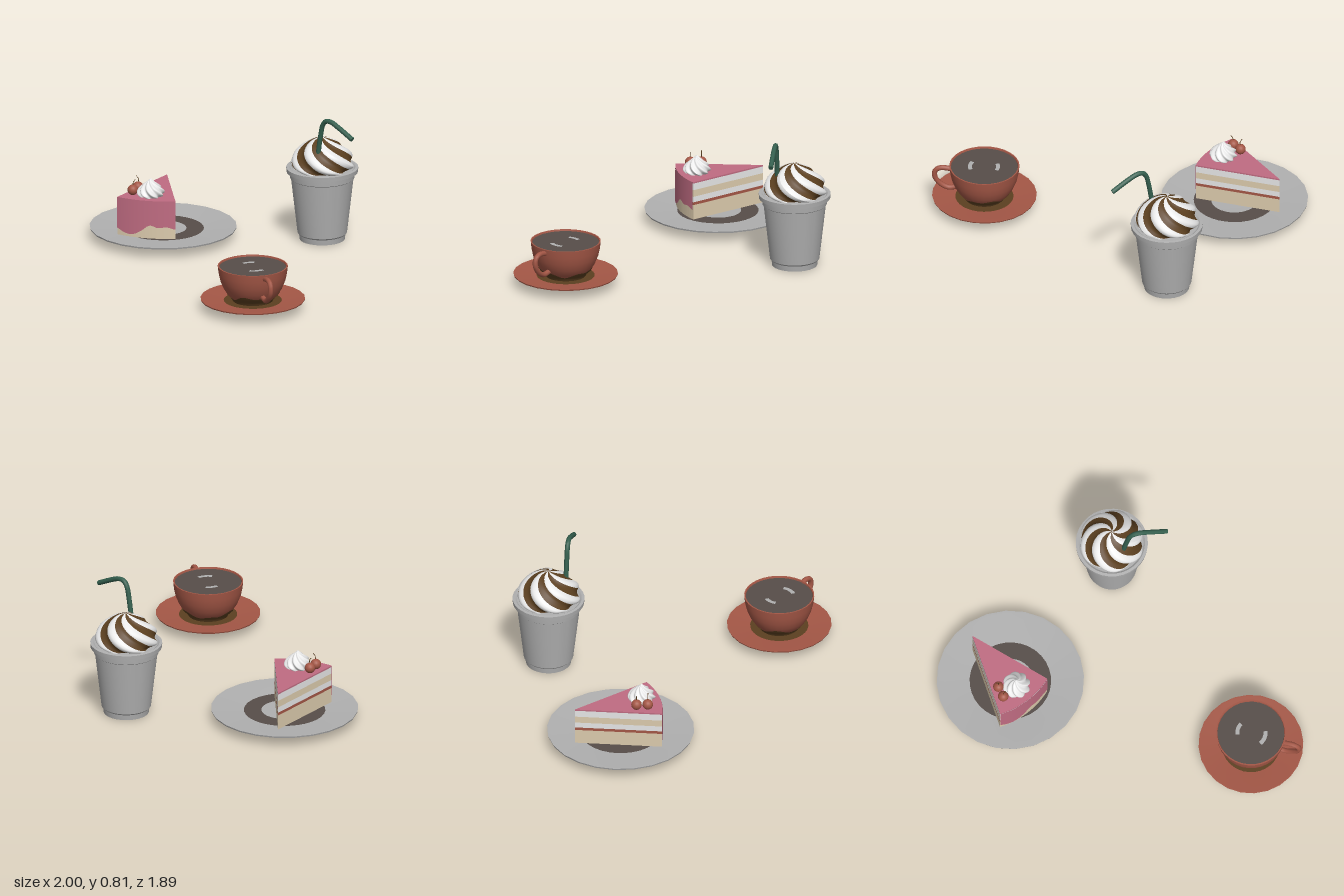
import * as THREE from 'three';
import { toCreasedNormals } from 'three/addons/utils/BufferGeometryUtils.js';

const mat = (name, color, side = THREE.FrontSide) => {
  const m = new THREE.MeshStandardMaterial({ color, side });
  m.name = name;
  return m;
};

export function createModel() {
  const red = mat('terracotta', 0xa45746);
  const grey = mat('porcelain grey', 0xb0b0b0);
  const white = mat('cream white', 0xececec);
  const coffee = mat('coffee', 0x574e49);
  const pink = mat('pink icing', 0xc06c82, THREE.DoubleSide);
  const beige = mat('sponge beige', 0xdccbad);
  const green = mat('straw green', 0x35604f);
  const brown = mat('chocolate', 0x5c4020, THREE.DoubleSide);

  const model = new THREE.Group();
  const group = (name, x, z) => {
    const g = new THREE.Group();
    g.name = name;
    g.position.set(x, 0, z);
    model.add(g);
    return g;
  };
  const add = (parent, name, geo, material, x = 0, y = 0, z = 0) => {
    const m = new THREE.Mesh(geo, material);
    m.name = name;
    m.position.set(x, y, z);
    parent.add(m);
    return m;
  };
  const lathe = (pts, seg = 24) =>
    toCreasedNormals(new THREE.LatheGeometry(pts.map(p => new THREE.Vector2(p[0], p[1])), seg), 0.5);
  const flatRing = (r0, r1, start = 0, len = Math.PI * 2) =>
    new THREE.RingGeometry(r0, r1, 32, 1, start, len).rotateX(-Math.PI / 2);
  const tube = (pts, r, seg = 24) =>
    new THREE.TubeGeometry(new THREE.CatmullRomCurve3(pts.map(p => new THREE.Vector3(...p))), seg, r, 8);

  // Grid surface from a rule; pick(column) chooses the material group
  const surface = (cols, rows, point, pick = () => 0) => {
    const pos = [], sets = [[], []];
    for (let j = 0; j <= rows; j++)
      for (let i = 0; i <= cols; i++) pos.push(...point(i / cols, j / rows));
    for (let j = 0; j < rows; j++)
      for (let i = 0; i < cols; i++) {
        const a = j * (cols + 1) + i, b = a + cols + 1;
        sets[pick(i)].push(a, a + 1, b, a + 1, b + 1, b);
      }
    const g = new THREE.BufferGeometry();
    g.setAttribute('position', new THREE.Float32BufferAttribute(pos, 3));
    g.setIndex([...sets[0], ...sets[1]]);
    g.addGroup(0, sets[0].length, 0);
    g.addGroup(sets[0].length, sets[1].length, 1);
    g.computeVertexNormals();
    return g;
  };

  // Piped cream: a lobed dome whose ridges wind round the axis
  const swirl = (profile, lobes, twist, depth, pick) => {
    const curve = new THREE.SplineCurve(profile.map(p => new THREE.Vector2(p[0], p[1])));
    return surface(lobes * 8, 28, (u, v) => {
      const p = curve.getPoint(v), a = u * Math.PI * 2 + twist * (1 - v);
      const r = Math.max(p.x, 0) * (1 - depth + depth * Math.cos(u * lobes * Math.PI * 2));
      return [r * Math.sin(a), p.y, r * Math.cos(a)];
    }, pick);
  };

  // ---- Cake plate ----
  const plate = group('cakePlate', -0.557, -0.227);
  add(plate, 'plate', lathe([[0, 0.025], [0.19, 0.025], [0.2, 0.015], [0.225, 0.015], [0.235, 0.025],
    [0.44, 0.06], [0.443, 0.07], [0.43, 0.07], [0.26, 0.052], [0, 0.05]]), grey);
  add(plate, 'plateRing', flatRing(0.14, 0.245), coffee, 0, 0.055, 0);

  // ---- Cake slice, tip at the group origin, rounded side to the front ----
  const cake = group('cakeSlice', -0.71, -0.49);
  const R = 0.524, sweep = 0.7;
  const wedge = (y0, y1, r = R) => {
    const s = new THREE.Shape();
    s.moveTo(0, 0);
    for (let i = 0; i <= 16; i++) {
      const a = sweep * i / 16;
      s.lineTo(r * Math.sin(a), -r * Math.cos(a));
    }
    return new THREE.ExtrudeGeometry(s, { depth: y1 - y0, bevelEnabled: false })
      .rotateX(-Math.PI / 2).translate(0, y0, 0);
  };
  [['lowerSponge', 0.056, 0.147, beige], ['jamLayer', 0.147, 0.165, red], ['creamLayer', 0.165, 0.2, white],
    ['upperSponge', 0.2, 0.242, beige], ['topCream', 0.242, 0.284, white]]
    .forEach(([name, y0, y1, m]) => add(cake, name, wedge(y0, y1), m));
  add(cake, 'topIcing', toCreasedNormals(wedge(0.284, 0.293, R + 0.003), 0.4), pink);
  // Icing on the rounded side with a wavy lower edge
  const drip = new THREE.SplineCurve([0.1, 0.078, 0.075, 0.1, 0.138, 0.125, 0.13, 0.115]
    .map((y, i) => new THREE.Vector2(i / 7, y)));
  add(cake, 'sideIcing', surface(32, 2, (u, v) => {
    const a = u * sweep, y = THREE.MathUtils.lerp(drip.getPoint(u).y, 0.287, v);
    return [(R + 0.005) * Math.sin(a), y, (R + 0.005) * Math.cos(a)];
  }), pink);

  // ---- Cake topping ----
  const topping = group('cakeTopping', -0.56, -0.1);
  add(topping, 'creamRosette', swirl([[0.07, 0.29], [0.085, 0.31], [0.074, 0.338], [0.045, 0.365],
    [0.02, 0.385], [0, 0.402]], 8, 2, 0.1), [white, white]);
  [[-0.108, -0.022], [-0.1, 0.045]].forEach(([x, z], i) => {
    add(topping, 'berry', new THREE.SphereGeometry(0.032, 16, 12), red, x, 0.322, z);
    add(topping, 'berryStem', tube([[x, 0.35, z], [x + 0.004, 0.37, z], [x - 0.012 + i * 0.03, 0.39, z]], 0.002, 8), brown);
  });

  // ---- Frozen drink ----
  const drink = group('frozenDrink', 0.255, -0.732);
  add(drink, 'tumbler', lathe([[0, 0.008], [0.12, 0.008], [0.125, 0], [0.136, 0.002], [0.14, 0.035], [0.149, 0.045],
    [0.188, 0.385], [0.194, 0.39], [0.197, 0.425], [0.215, 0.428], [0.217, 0.455], [0.2, 0.457], [0.19, 0.45], [0, 0.45]], 32), grey);
  add(drink, 'whippedCream', swirl([[0.18, 0.45], [0.198, 0.475], [0.19, 0.515], [0.16, 0.56], [0.11, 0.6],
    [0.055, 0.63], [0, 0.648]], 6, 2.2, 0.07, i => (i % 8 >= 2 && i % 8 <= 5 ? 1 : 0)), [white, brown]);
  add(drink, 'straw', tube([[0.03, 0.48, 0.1], [0.042, 0.58, 0.102], [0.062, 0.7, 0.105], [0.078, 0.762, 0.107],
    [0.102, 0.79, 0.109], [0.14, 0.793, 0.112], [0.2, 0.77, 0.118], [0.305, 0.718, 0.127]], 0.015, 40), green);
  [[0.305, 0.718, 0.127]].forEach(p => {
    const cap = add(drink, 'strawEnd', new THREE.CylinderGeometry(0.015, 0.015, 0.004, 8), green, ...p);
    cap.quaternion.setFromUnitVectors(new THREE.Vector3(0, 1, 0), new THREE.Vector3(0.9, -0.44, 0.08).normalize());
  });

  // ---- Coffee cup and saucer ----
  const cup = group('coffeeCup', 0.682, 0.622);
  add(cup, 'saucer', lathe([[0, 0.037], [0.165, 0.037], [0.17, 0.031], [0.185, 0.031], [0.19, 0.038],
    [0.312, 0.063], [0.315, 0.071], [0.305, 0.071], [0.19, 0.055], [0, 0.055]]), red);
  add(cup, 'saucerStain', flatRing(0.11, 0.175), brown, 0, 0.058, 0);
  const side = [[0.115, 0.055], [0.125, 0.075], [0.152, 0.1], [0.178, 0.14], [0.196, 0.185], [0.206, 0.23], [0.211, 0.275]];
  add(cup, 'cupBody', lathe([[0, 0.055], ...side, [0.203, 0.275], [0.198, 0.255], [0, 0.255]], 32), red);
  add(cup, 'coffeeSurface', new THREE.CircleGeometry(0.201, 32).rotateX(-Math.PI / 2), coffee, 0, 0.266, 0);
  add(cup, 'foamStreak', flatRing(0.07, 0.094, 2.05, 0.9), grey, 0, 0.269, 0);
  add(cup, 'foamStreak', flatRing(0.075, 0.1, -1.2, 1), grey, 0, 0.269, 0);
  // Wavy spill round the foot of the cup
  const radiusAt = y => {
    const i = Math.max(1, side.findIndex(p => p[1] >= y));
    return THREE.MathUtils.mapLinear(y, side[i - 1][1], side[i][1], side[i - 1][0], side[i][0]);
  };
  add(cup, 'cupSpill', surface(64, 6, (u, v) => {
    const a = u * Math.PI * 2;
    const y = THREE.MathUtils.lerp(0.057, 0.105 + 0.014 * Math.sin(3 * a) + 0.008 * Math.sin(7 * a), v);
    const r = radiusAt(y) + 0.004;
    return [r * Math.sin(a), y, r * Math.cos(a)];
  }), brown);
  const handle = add(cup, 'handle', tube([[0.165, 0.125, 0], [0.215, 0.118, 0], [0.265, 0.145, 0], [0.298, 0.195, 0],
    [0.293, 0.24, 0], [0.26, 0.257, 0], [0.2, 0.25, 0]], 0.016), red);
  handle.rotation.y = -0.6;

  return model;
}
